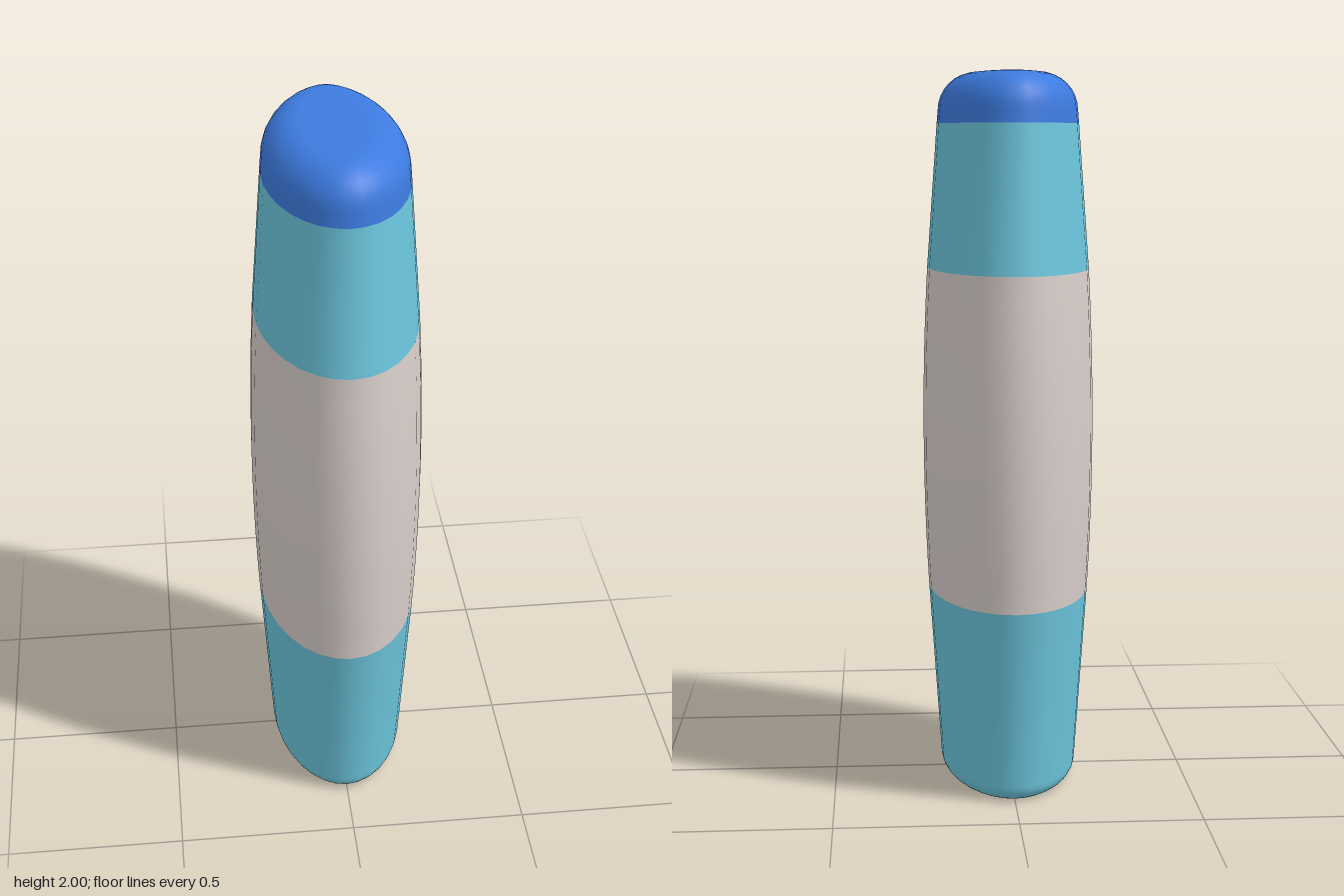
import * as THREE from 'three';

const SIDES = 32;

// Skin a stack of elliptical rings [rx, rz, y, inset], bottom to top.
// inset moves the ring inward along the ellipse normal; closeAt adds a flat end.
function ellipticalShell(name, color, rings, closeAt) {
  const pos = [], index = [];
  for (const [rx, rz, y, inset = 0] of rings) {
    for (let i = 0; i < SIDES; i++) {
      const a = (i / SIDES) * Math.PI * 2, s = Math.sin(a), c = Math.cos(a);
      const len = Math.hypot(s * rz, c * rx);
      pos.push(rx * s - (inset * s * rz) / len, y, rz * c - (inset * c * rx) / len);
    }
  }
  for (let r = 0; r < rings.length - 1; r++) {
    for (let i = 0; i < SIDES; i++) {
      const j = (i + 1) % SIDES, lo = r * SIDES, hi = lo + SIDES;
      index.push(lo + i, lo + j, hi + j, lo + i, hi + j, hi + i);
    }
  }
  if (closeAt) {
    const top = closeAt === 'top', r = top ? rings.length - 1 : 0;
    const centre = rings.length * SIDES;
    pos.push(0, rings[r][2], 0);
    for (let i = 0; i < SIDES; i++) {
      const a = r * SIDES + i, b = r * SIDES + ((i + 1) % SIDES);
      if (top) index.push(centre, a, b);
      else index.push(centre, b, a);
    }
  }
  const geo = new THREE.BufferGeometry();
  geo.setAttribute('position', new THREE.Float32BufferAttribute(pos, 3));
  geo.setIndex(index);
  geo.computeVertexNormals();
  const mesh = new THREE.Mesh(geo, new THREE.MeshStandardMaterial({ color, side: THREE.DoubleSide }));
  mesh.name = name;
  return mesh;
}

// Quarter-round edge: rings running from the wall to the flat end.
function fillet(rx, rz, yEnd, radius, dir, steps = 8) {
  const out = [];
  for (let k = 0; k <= steps; k++) {
    const t = (k / steps) * Math.PI / 2;
    out.push([rx, rz, yEnd - dir * radius * (1 - Math.sin(t)), radius * (1 - Math.cos(t))]);
  }
  return out;
}

export function createModel() {
  const group = new THREE.Group();
  group.name = 'ovalContainer';
  const teal = 0x6cc5dc, cream = 0xd9cfcb, blue = 0x3d7be0;

  // Lower body with a small rounded foot
  group.add(ellipticalShell('lowerBody', teal,
    [...fillet(0.193, 0.34, 0, 0.045, -1).reverse(), [0.227, 0.4, 0.55]], 'bottom'));

  // Gently bulging label band
  const band = [];
  for (let k = 0; k <= 12; k++) {
    const u = (k / 12) * 2 - 1, bulge = 1 - u * u;
    band.push([0.227 + 0.013 * bulge, 0.4 + 0.02 * bulge, 1.005 + 0.455 * u]);
  }
  group.add(ellipticalShell('labelBand', cream, band));

  // Upper body tapering to the cap
  group.add(ellipticalShell('upperBody', teal, [[0.227, 0.4, 1.46], [0.198, 0.347, 1.86]]));

  // Cap with a rounded top edge
  group.add(ellipticalShell('cap', blue,
    [[0.198, 0.347, 1.86], ...fillet(0.195, 0.343, 2, 0.105, 1)], 'top'));

  return group;
}
